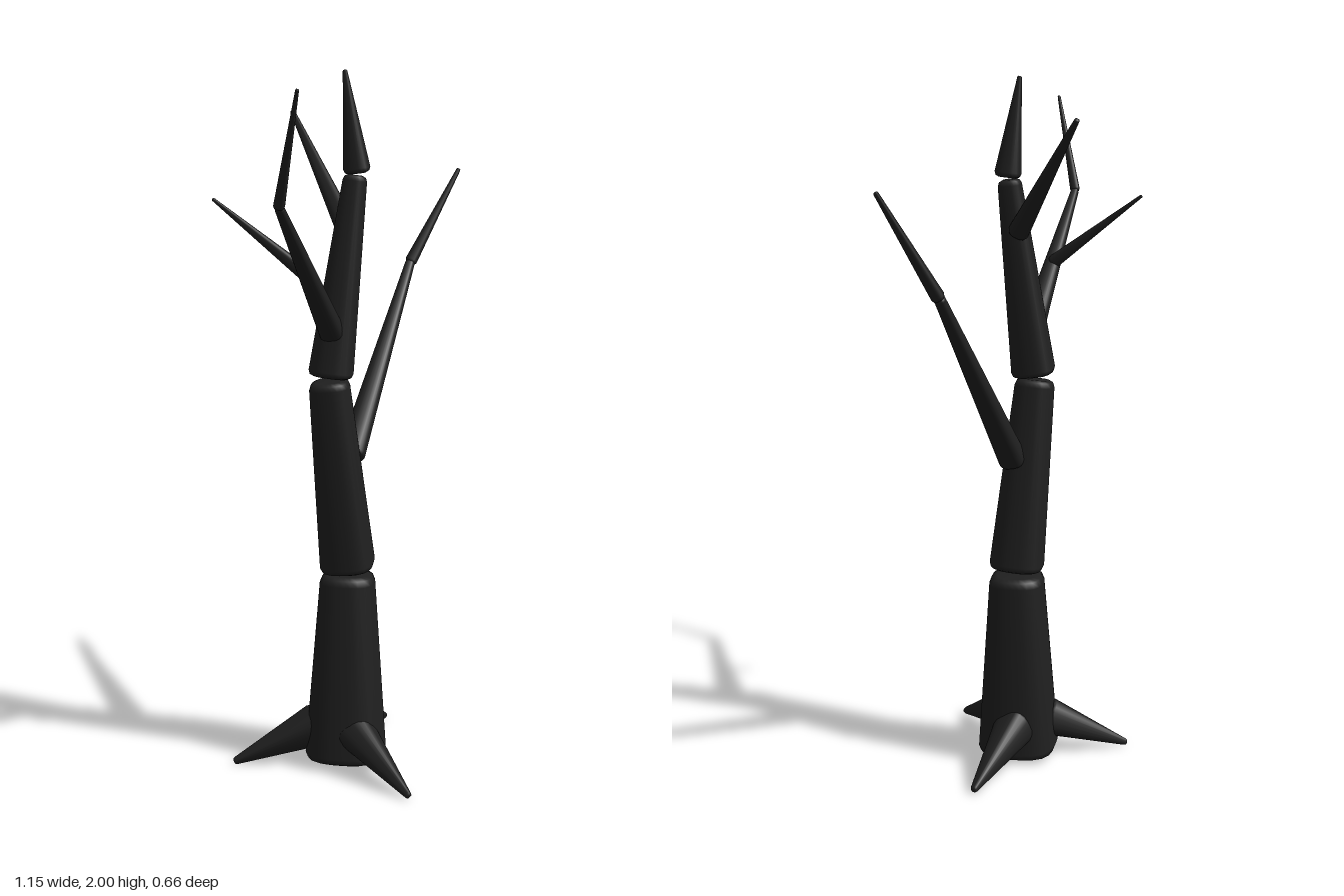
import * as THREE from 'three';
import { mergeVertices } from 'three/addons/utils/BufferGeometryUtils.js';

const UP = new THREE.Vector3(0, 1, 0);
const TWIST = THREE.MathUtils.degToRad(59);

// Tapered limb with a rounded-square section and softened ends, from a to b
function limbGeometry(length, r0, r1, bevel) {
  const b0 = Math.min(bevel, r0 * 0.6), b1 = Math.min(bevel, r1 * 0.6);
  const profile = [
    [0, 0], [r0 - b0, 0], [r0 - b0 * 0.3, b0 * 0.3], [r0, b0],
    [r1, length - b1], [r1 - b1 * 0.3, length - b1 * 0.3], [r1 - b1, length], [0, length],
  ].map(([x, y]) => new THREE.Vector2(x, y));
  let geo = new THREE.LatheGeometry(profile, 24);
  const p = geo.attributes.position;
  for (let i = 0; i < p.count; i++) {
    const a = Math.atan2(p.getZ(i), p.getX(i)) - TWIST;
    const sum = Math.abs(Math.cos(a)) ** 3 + Math.abs(Math.sin(a)) ** 3;
    const k = 0.9 / Math.cbrt(sum);
    p.setX(i, p.getX(i) * k);
    p.setZ(i, p.getZ(i) * k);
  }
  geo.deleteAttribute('uv');
  geo.deleteAttribute('normal');
  geo = mergeVertices(geo, 1e-5);
  geo.computeVertexNormals();
  return geo;
}

export function createModel() {
  const tree = new THREE.Group();
  tree.name = 'bareTree';
  const bark = new THREE.MeshStandardMaterial({ color: 0x202020 });
  bark.name = 'charcoal bark';

  function limb(name, from, to, r0, r1, bevel = 0.012) {
    const a = new THREE.Vector3(...from);
    const dir = new THREE.Vector3(...to).sub(a);
    const mesh = new THREE.Mesh(limbGeometry(dir.length(), r0, r1, bevel), bark);
    mesh.name = name;
    mesh.position.copy(a);
    mesh.quaternion.setFromUnitVectors(UP, dir.normalize());
    tree.add(mesh);
  }

  // Trunk, four stacked pieces with slim gaps
  limb('lowerTrunk', [-0.055, 0.015, 0.012], [-0.035, 0.57, 0.003], 0.129, 0.088, 0.025);
  limb('middleTrunk', [-0.033, 0.583, 0.003], [-0.097, 1.145, -0.013], 0.087, 0.063, 0.02);
  limb('upperTrunk', [-0.1, 1.157, -0.005], [-0.032, 1.717, 0.03], 0.069, 0.037, 0.016);
  limb('trunkTip', [-0.029, 1.722, 0.034], [-0.057, 2.0, 0.013], 0.041, 0.007, 0.014);

  // Roots spreading on the ground
  limb('frontRoot', [-0.085, 0.115, 0.07], [-0.16, 0.012, 0.33], 0.062, 0.011);
  limb('leftRoot', [0.01, 0.12, -0.035], [0.26, 0.012, -0.09], 0.062, 0.011);
  limb('backRoot', [-0.11, 0.115, -0.045], [-0.3, 0.012, -0.212], 0.062, 0.011);

  // Left branch with a bent tip
  limb('leftBranch', [-0.015, 0.915, 0], [0.4, 1.437, -0.108], 0.042, 0.016);
  limb('leftBranchTip', [0.398, 1.43, -0.11], [0.565, 1.712, -0.05], 0.02, 0.007);

  // Right branch with a bent tip and a twig
  limb('rightBranch', [-0.115, 1.285, 0.015], [-0.512, 1.66, 0.18], 0.037, 0.013);
  limb('rightBranchTip', [-0.513, 1.655, 0.18], [-0.572, 1.945, 0.297], 0.016, 0.005);
  limb('rightTwig', [-0.285, 1.458, 0.085], [-0.4, 1.662, -0.16], 0.022, 0.005);

  // Back branch
  limb('backBranch', [-0.03, 1.57, -0.005], [0.11, 1.887, -0.328], 0.033, 0.008);

  return tree;
}
